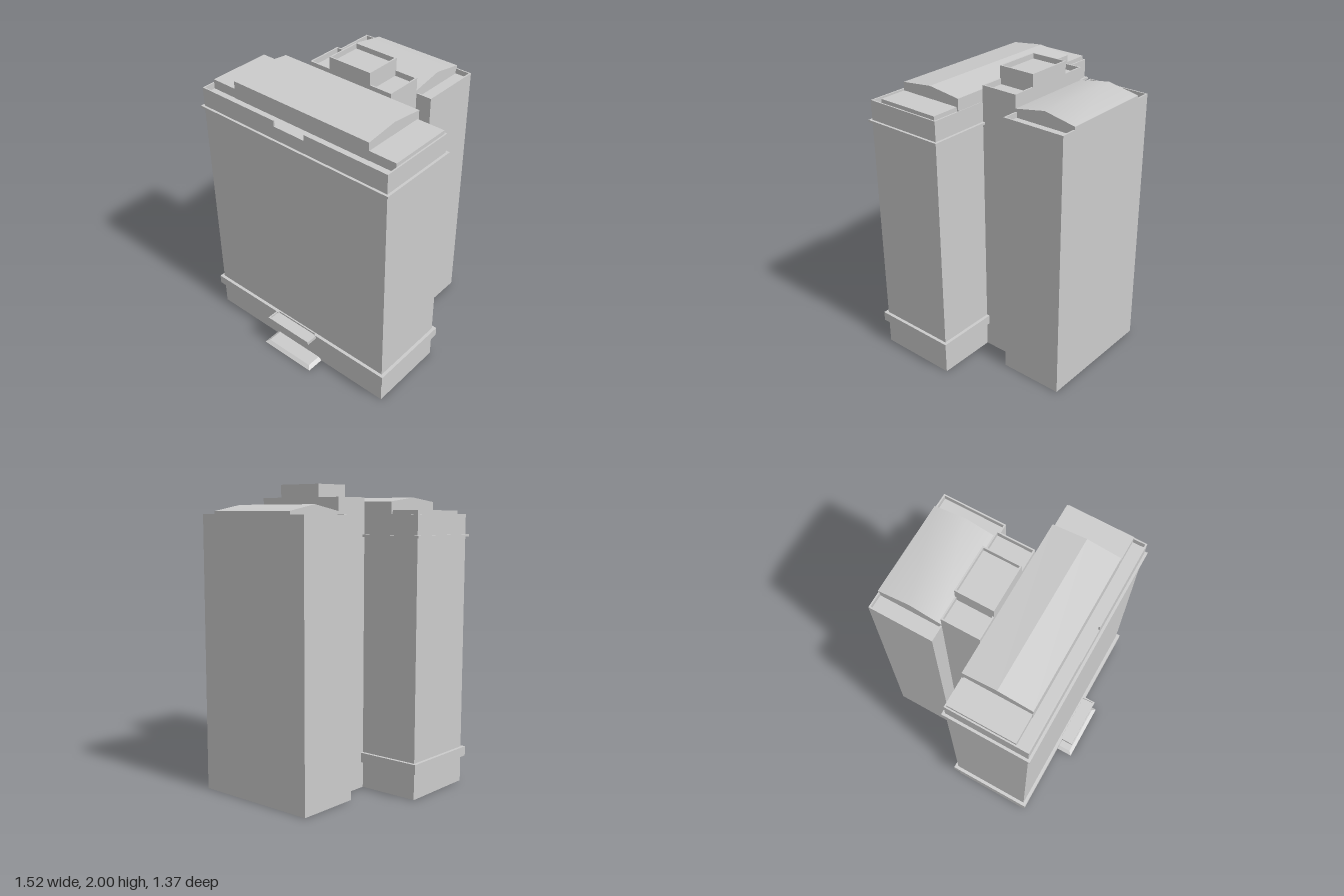
import * as THREE from 'three';
import { toCreasedNormals } from 'three/addons/utils/BufferGeometryUtils.js';

const material = new THREE.MeshStandardMaterial({ color: 0xcccccc, side: THREE.DoubleSide });

function add(parent, name, geometry) {
  const mesh = new THREE.Mesh(geometry, material);
  mesh.name = name;
  parent.add(mesh);
  return mesh;
}

// Sweep a wall profile of [outward offset, y] along a plan path of [x, z, offsetX, offsetZ].
function sweep(path, profile) {
  const pos = [];
  const at = ([x, z, dx, dz], [o, y]) => [x + dx * o, y, z + dz * o];
  for (let i = 0; i < path.length - 1; i++) {
    for (let k = 0; k < profile.length - 1; k++) {
      const a = at(path[i], profile[k]), b = at(path[i + 1], profile[k]);
      const c = at(path[i + 1], profile[k + 1]), d = at(path[i], profile[k + 1]);
      pos.push(...a, ...b, ...c, ...a, ...c, ...d);
    }
  }
  const g = new THREE.BufferGeometry();
  g.setAttribute('position', new THREE.Float32BufferAttribute(pos, 3));
  g.computeVertexNormals();
  return g;
}

const mirrorPath = path => path.map(([x, z, dx, dz]) => [-x, z, -dx, dz]).reverse();

// Closed rectangular plan, symmetric in x
const rect = (w, z0, z1) => [[-w, z1, -1, 1], [w, z1, 1, 1], [w, z0, 1, -1], [-w, z0, -1, -1], [-w, z1, -1, 1]];

// Horizontal sheet, facing up or down
function sheet(parent, name, w, z0, z1, y, up = true) {
  const g = new THREE.PlaneGeometry(2 * w, z1 - z0).rotateX(up ? -Math.PI / 2 : Math.PI / 2);
  add(parent, name, g.translate(0, y, (z0 + z1) / 2));
}

// Block whose top is sunk behind a thin parapet
function tray(parent, name, w, z0, z1, y0, y1, floorY, lip = 0.01) {
  add(parent, name + 'Walls', sweep(rect(w, z0, z1), [[0, y0], [0, y1], [-lip, y1], [-lip, floorY]]));
  sheet(parent, name + 'Top', w - lip, z0 + lip, z1 - lip, floorY);
}

// Ridged roof running along x, outlined by [z, y] points
function ridgeRoof(parent, name, w, points, crease) {
  const shape = new THREE.Shape(points.map(([z, y]) => new THREE.Vector2(-z, y)));
  const g = new THREE.ExtrudeGeometry(shape, { depth: 2 * w, bevelEnabled: false });
  g.translate(0, 0, -w).rotateY(Math.PI / 2);
  add(parent, name, toCreasedNormals(g, crease));
}

export function createModel() {
  const model = new THREE.Group();
  model.name = 'building';
  const group = name => {
    const g = new THREE.Group();
    g.name = name;
    model.add(g);
    return g;
  };

  // Front block: hollow skin, with a base band, a thin cornice and a parapet
  const front = group('frontBlock');
  const cornice = [[0, 1.665], [0.017, 1.665], [0.017, 1.68], [0, 1.68]];
  const parapet = [[0, 1.81], [-0.01, 1.81], [-0.01, 1.77]];
  const band = [[0, 0], [0, 0.175], [0.022, 0.175], [0.022, 0.24], [0, 0.24]];
  const side = [[0.17, 0.56, 0, 1], [0.74, 0.56, 1, 1], [0.74, 0.012, 1, -1], [0.325, 0.012, 0, -1]];
  const pier = [[0.12, 0.56, 0, 1], [0.17, 0.56, 0, 1]];
  const middle = [[-0.12, 0.56, 0, 1], [0.12, 0.56, 0, 1]];
  for (const [label, flip] of [['left', p => p], ['right', mirrorPath]]) {
    add(front, label + 'Wall', sweep(flip(side), [...band, ...cornice, ...parapet]));
    add(front, label + 'EntrancePier', sweep(flip(pier), [[0, 0], ...cornice, ...parapet]));
    const s = label === 'left' ? 1 : -1;
    // Ends of the base band and of the parapet notch
    add(front, label + 'BandEnd', new THREE.PlaneGeometry(0.022, 0.065).rotateY(-s * Math.PI / 2))
      .position.set(s * 0.17, 0.2075, 0.571);
    add(front, label + 'NotchEnd', new THREE.PlaneGeometry(0.01, 0.04).rotateY(-s * Math.PI / 2))
      .position.set(s * 0.12, 1.79, 0.555);
  }
  add(front, 'entranceWall', sweep(middle, [[0, 0], ...cornice, [0, 1.77], [-0.01, 1.77]]));
  sheet(front, 'roofDeck', 0.73, 0.022, 0.55, 1.77);

  // Front roof: low box with a ridged roof across its middle
  const roofBox = new THREE.BoxGeometry(1.46, 0.065, 0.446);
  add(front, 'roofBox', roofBox.translate(0, 1.8025, 0.25));
  ridgeRoof(front, 'frontRoof', 0.538,
    [[0.475, 1.77], [0.475, 1.89], [0.245, 1.917], [0.015, 1.89], [0.015, 1.77]], 0.1);

  // Entrance: canopy with a raised rim above a sloped step
  const entrance = group('entrance');
  tray(entrance, 'canopy', 0.185, 0.56, 0.662, 0.215, 0.24, 0.228);
  sheet(entrance, 'canopyUnderside', 0.185, 0.56, 0.662, 0.215, false);
  const stepPath = [[-0.21, 0.56, -1, 0], [-0.21, 0.685, -1, 1], [0.21, 0.685, 1, 1], [0.21, 0.56, 1, 0]];
  add(entrance, 'stepSides', sweep(stepPath, [[0, 0], [0, 0.004], [-0.024, 0.02]]));
  sheet(entrance, 'stepTop', 0.186, 0.56, 0.661, 0.02);
  sheet(entrance, 'stepUnderside', 0.21, 0.56, 0.685, 0, false);

  // Linking core: open below, with a taller centre tower
  const core = group('linkCore');
  const coreSide = [[0.325, 0.012, 1, 0], [0.325, -0.248, 1, 0]];
  add(core, 'leftCoreWall', sweep(coreSide, [[0, 0], [0, 1.77]]));
  add(core, 'rightCoreWall', sweep(mirrorPath(coreSide), [[0, 0], [0, 1.77]]));
  tray(core, 'coreHead', 0.325, -0.248, 0.012, 1.77, 1.917, 1.88);
  tray(core, 'tower', 0.163, -0.248, 0.012, 1.88, 2, 1.965);

  // Rear block: closed below, parapets at both sides of a softly ridged roof
  const rear = group('rearBlock');
  tray(rear, 'rear', 0.435, -0.685, -0.248, 0, 1.81, 1.775);
  sheet(rear, 'rearUnderside', 0.435, -0.685, -0.248, 0, false);
  ridgeRoof(rear, 'rearRoof', 0.325,
    [[-0.248, 1.775], [-0.248, 1.83], [-0.466, 1.87], [-0.685, 1.83], [-0.685, 1.775]], 0.6);

  return model;
}
